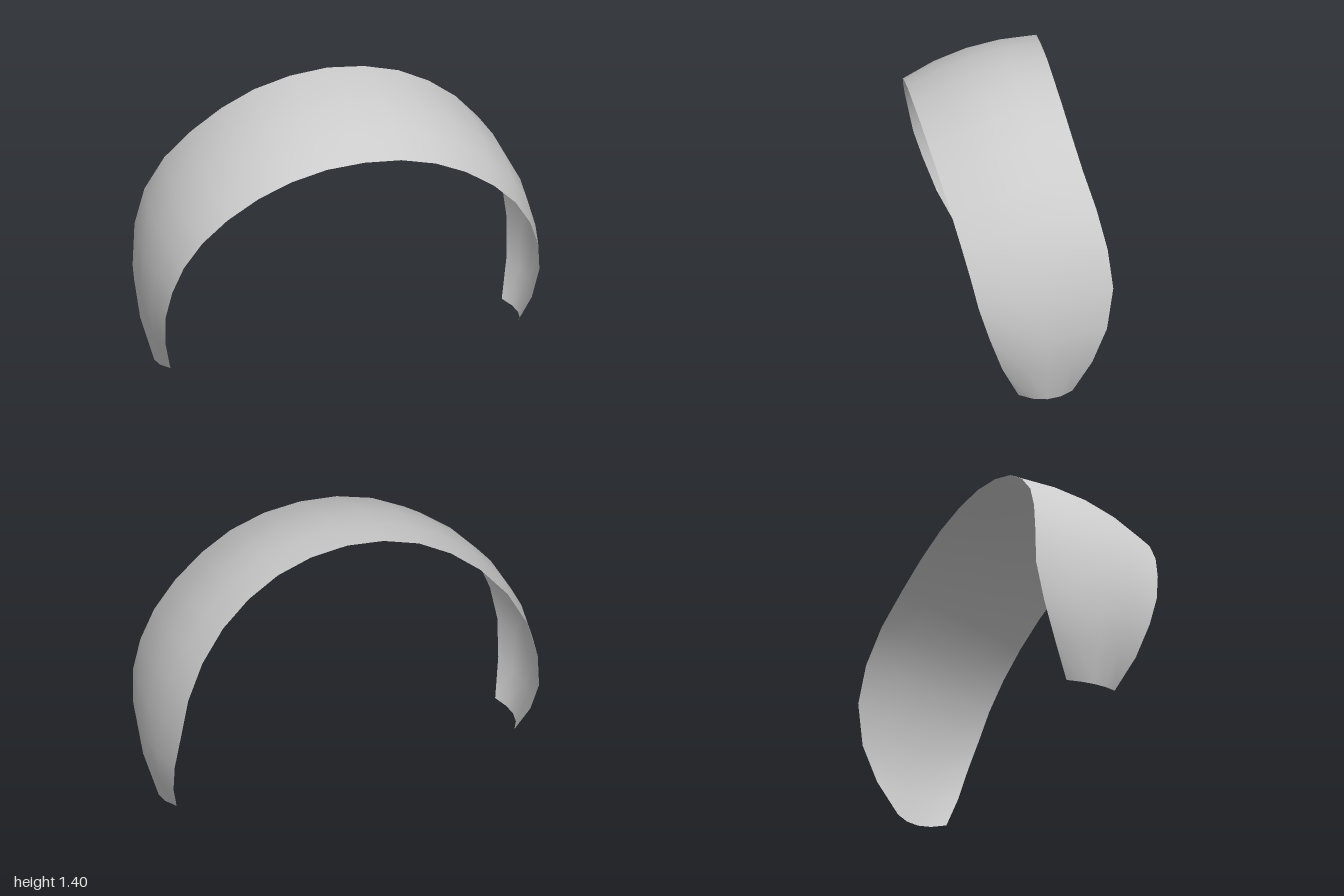
import * as THREE from 'three';

// Edge points [x, y, z] from the crown down to the +x tip
const FRONT = [
  [0, 1.21, 0.417], [0.19, 1.195, 0.412], [0.37, 1.145, 0.4], [0.53, 1.065, 0.378],
  [0.68, 0.955, 0.35], [0.8, 0.83, 0.32], [0.885, 0.69, 0.287], [0.935, 0.545, 0.255],
  [0.955, 0.385, 0.205], [0.935, 0.2, 0.138], [0.885, 0.022, 0.048],
];
const BACK = [
  [0, 1.41, -0.245], [0.19, 1.39, -0.248], [0.37, 1.335, -0.26], [0.53, 1.245, -0.28],
  [0.675, 1.125, -0.31], [0.8, 0.975, -0.355], [0.89, 0.795, -0.395], [0.935, 0.6, -0.415],
  [0.955, 0.39, -0.38], [0.935, 0.2, -0.31], [0.885, 0.022, -0.22],
];
const HALF = FRONT.length - 1;
const ROWS = 4;
const BULGE = 0.046;

// Edge point for a column from -HALF to HALF, mirrored across x
function edge(list, i) {
  const [x, y, z] = list[Math.abs(i)];
  return new THREE.Vector3(i < 0 ? -x : x, y, z);
}

// Chord midpoint of a column
const middle = (i) => edge(FRONT, i).add(edge(BACK, i)).multiplyScalar(0.5);

export function createModel() {
  const group = new THREE.Group();
  group.name = 'headband';

  // Curved band: each column arches outward between its back and front edge
  const geometry = new THREE.PlaneGeometry(1, 1, HALF * 2, ROWS);
  const pos = geometry.attributes.position;
  for (let c = 0; c <= HALF * 2; c++) {
    const i = c - HALF;
    const back = edge(BACK, i);
    const front = edge(FRONT, i);
    const along = middle(Math.min(i + 1, HALF)).sub(middle(Math.max(i - 1, -HALF)));
    const outward = front.clone().sub(back).cross(along).normalize();
    for (let r = 0; r <= ROWS; r++) {
      const t = r / ROWS;
      const p = back.clone().lerp(front, t).addScaledVector(outward, BULGE * 4 * t * (1 - t));
      pos.setXYZ(r * (HALF * 2 + 1) + c, p.x, p.y, p.z);
    }
  }
  geometry.computeVertexNormals();

  const band = new THREE.Mesh(
    geometry,
    new THREE.MeshStandardMaterial({ color: 0xcccccc, side: THREE.DoubleSide }),
  );
  band.name = 'curvedBand';
  group.add(band);
  return group;
}
